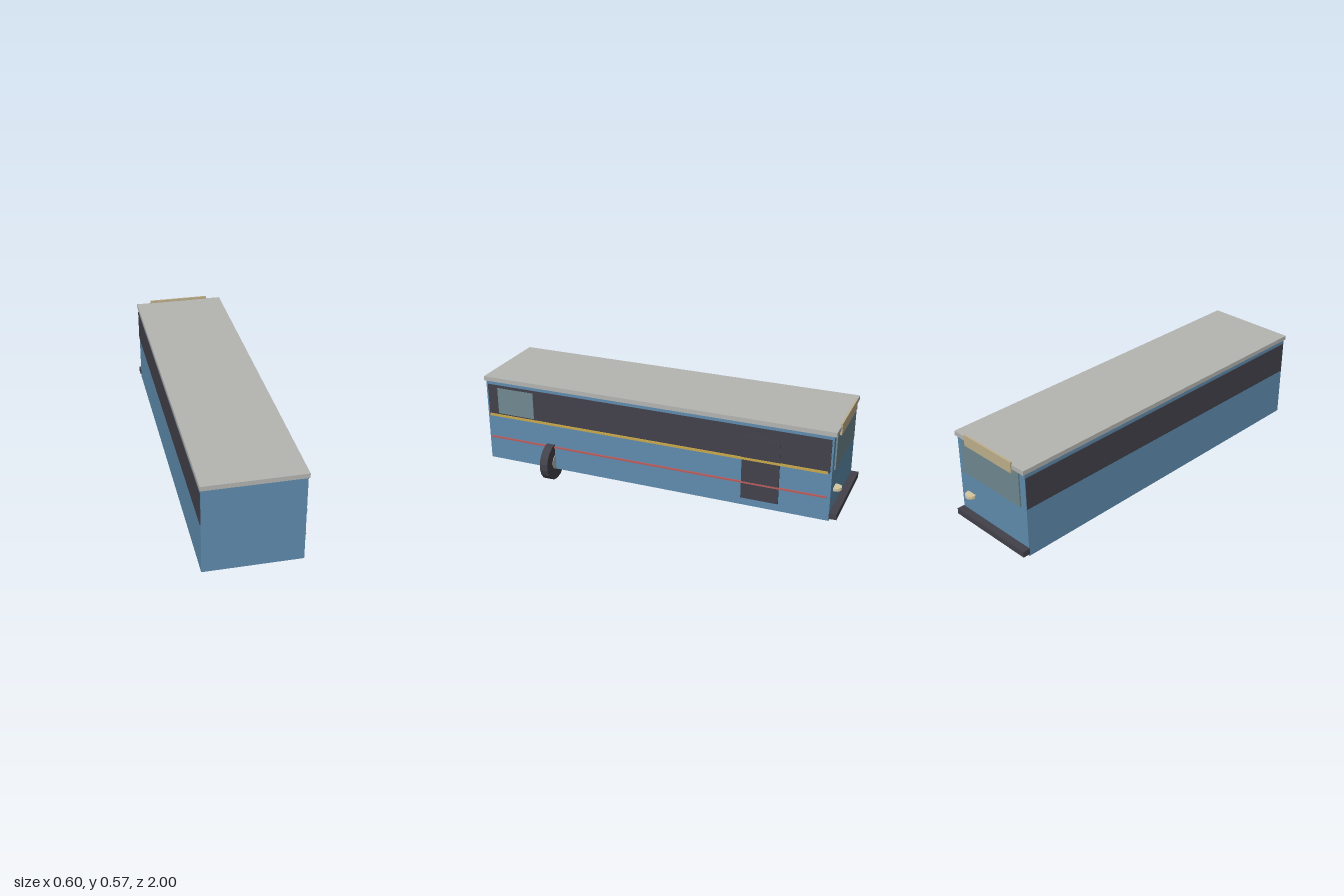
import * as THREE from 'three';

const mat = (name, color) => {
  const m = new THREE.MeshStandardMaterial({ color });
  m.name = name;
  return m;
};

export function createModel() {
  const blue = mat('body blue', 0x5f8cae);
  const grey = mat('roof grey', 0xb4b4b1);
  const dark = mat('dark trim', 0x42414a);
  const glass = mat('glass', 0x6f8890);
  const beige = mat('sign beige', 0xbfb08c);
  const gold = mat('gold stripe', 0xc8a84a);
  const red = mat('red stripe', 0xb85c5c);
  const cream = mat('lamp cream', 0xd6c6a0);

  const bus = new THREE.Group();
  bus.name = 'bus';

  // Box given by its lower and upper bounds on each axis
  const box = (name, material, [x0, x1], [y0, y1], [z0, z1]) => {
    const mesh = new THREE.Mesh(new THREE.BoxGeometry(x1 - x0, y1 - y0, z1 - z0), material);
    mesh.position.set((x0 + x1) / 2, (y0 + y1) / 2, (z0 + z1) / 2);
    mesh.name = name;
    bus.add(mesh);
  };

  // Faceted cylinder, standing upright
  const disc = (name, material, radius, height, sides, [x, y, z]) => {
    const mesh = new THREE.Mesh(
      new THREE.CylinderGeometry(radius, radius, height, sides).toNonIndexed(), material);
    mesh.geometry.computeVertexNormals();
    mesh.position.set(x, y, z);
    mesh.name = name;
    bus.add(mesh);
    return mesh;
  };

  // Main shell
  box('body', blue, [-0.295, 0.203], [0.063, 0.529], [-0.96, 0.99]);
  box('roof', grey, [-0.3, 0.208], [0.529, 0.553], [-0.972, 1]);

  // Long window bands on both sides
  box('leftWindowBand', dark, [0.203, 0.206], [0.33, 0.51], [-0.95, 0.98]);
  box('rightWindowBand', dark, [-0.298, -0.295], [0.333, 0.506], [-0.958, 0.985]);

  // Side pane, door and stripes
  box('sidePane', glass, [0.203, 0.209], [0.345, 0.495], [0.7, 0.92]);
  box('door', dark, [0.203, 0.209], [0.105, 0.455], [-0.695, -0.495]);
  box('goldStripe', gold, [0.203, 0.211], [0.325, 0.338], [-0.94, 0.975]);
  box('redStripe', red, [0.203, 0.211], [0.191, 0.2], [-0.94, 0.975]);

  // Windscreen end
  box('windscreen', glass, [-0.258, 0.167], [0.333, 0.525], [-0.968, -0.96]);
  box('destinationSign', beige, [-0.218, 0.127], [0.507, 0.567], [-0.978, -0.968]);
  box('bumper', dark, [-0.3, 0.208], [0.078, 0.11], [-1, -0.96]);
  disc('lamp', cream, 0.03, 0.016, 12, [0.125, 0.216, -0.969]);

  // Wheel, facing along the length of the bus
  const wheelCentre = [0.195, 0.106, 0.605];
  disc('tyre', dark, 0.105, 0.046, 18, wheelCentre).rotation.x = Math.PI / 2;
  disc('hub', grey, 0.044, 0.051, 14, wheelCentre).rotation.x = Math.PI / 2;

  return bus;
}
